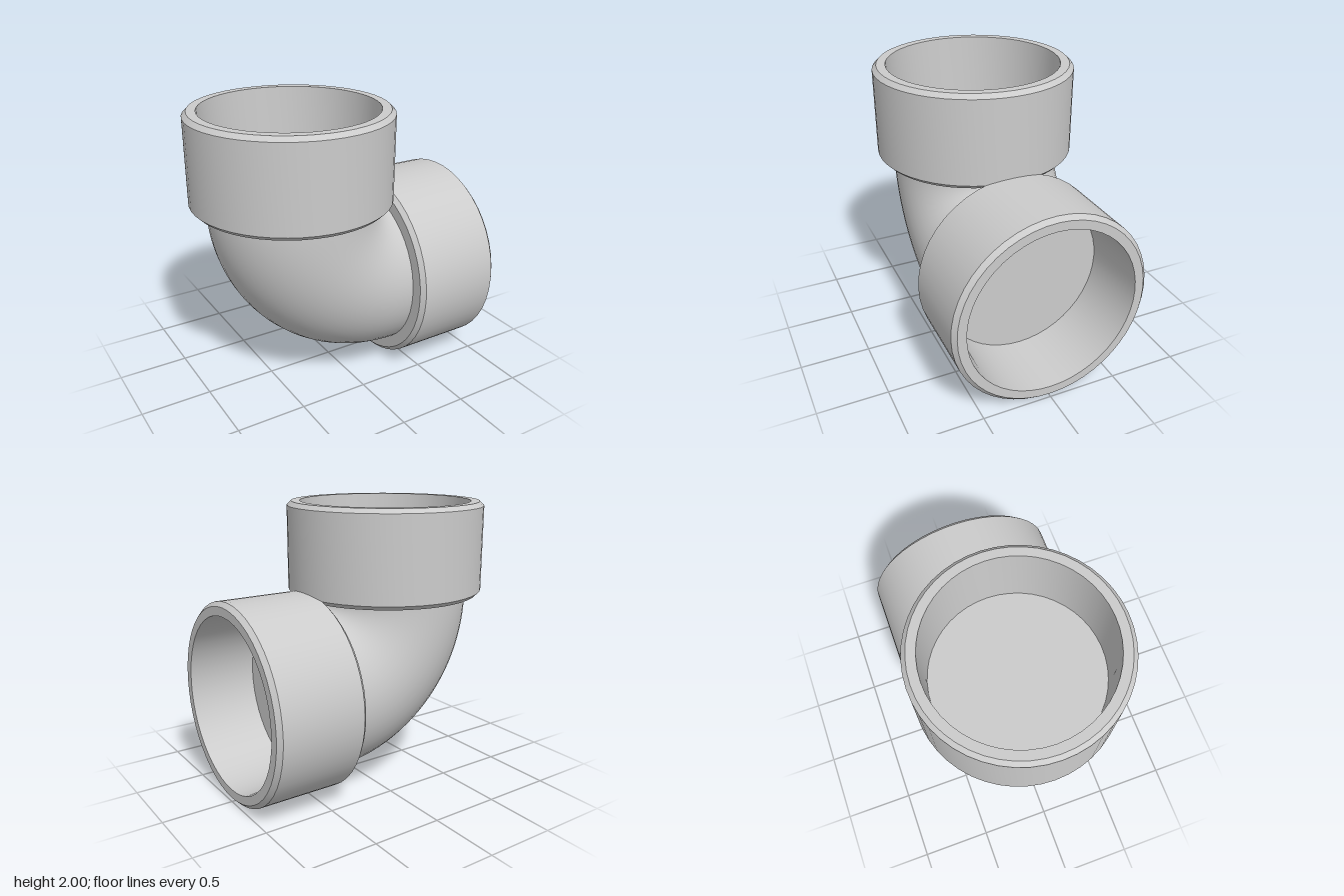
import * as THREE from 'three';
import { toCreasedNormals } from 'three/addons/utils/BufferGeometryUtils.js';

const SIDES = 48;
const COLLAR_R = 0.703, COLLAR_LEN = 0.656, CHAMFER = 0.03;
const PIPE_R = 0.59, BEND_R = 0.641;
const SOCKET_R = 0.61, SOCKET_DEPTH = 0.49;

// Chamfered collar with a slightly tapered blind socket, opening along +y
function collarGeometry() {
  const floor = COLLAR_LEN - SOCKET_DEPTH;
  const profile = [
    [PIPE_R - 0.02, 0],
    [COLLAR_R - CHAMFER, 0],
    [COLLAR_R, CHAMFER],
    [COLLAR_R, COLLAR_LEN - CHAMFER],
    [COLLAR_R - CHAMFER, COLLAR_LEN],
    [SOCKET_R, COLLAR_LEN],
    [PIPE_R, floor],
    [0, floor],
  ].map(([r, y]) => new THREE.Vector2(r, y));
  return toCreasedNormals(new THREE.LatheGeometry(profile, SIDES), 0.5);
}

export function createModel() {
  const group = new THREE.Group();
  group.name = 'pipeElbow';
  const material = new THREE.MeshStandardMaterial({ color: 0xcccccc });

  // Centre of the quarter bend
  const cx = 1 - COLLAR_LEN, cy = 2 - COLLAR_LEN;

  const add = (name, geometry, x, y, turn) => {
    const mesh = new THREE.Mesh(geometry, material);
    mesh.name = name;
    mesh.position.set(x, y, 0);
    mesh.rotation.z = turn;
    group.add(mesh);
  };

  // Quarter-torus bend joining the two collars
  add('bend', new THREE.TorusGeometry(BEND_R, PIPE_R, SIDES, 40, Math.PI / 2), cx, cy, Math.PI);

  // Same collar at both ends, one facing up and one facing +x
  const collar = collarGeometry();
  add('topCollar', collar, cx - BEND_R, cy, 0);
  add('sideCollar', collar, cx, cy - BEND_R, -Math.PI / 2);

  return group;
}
